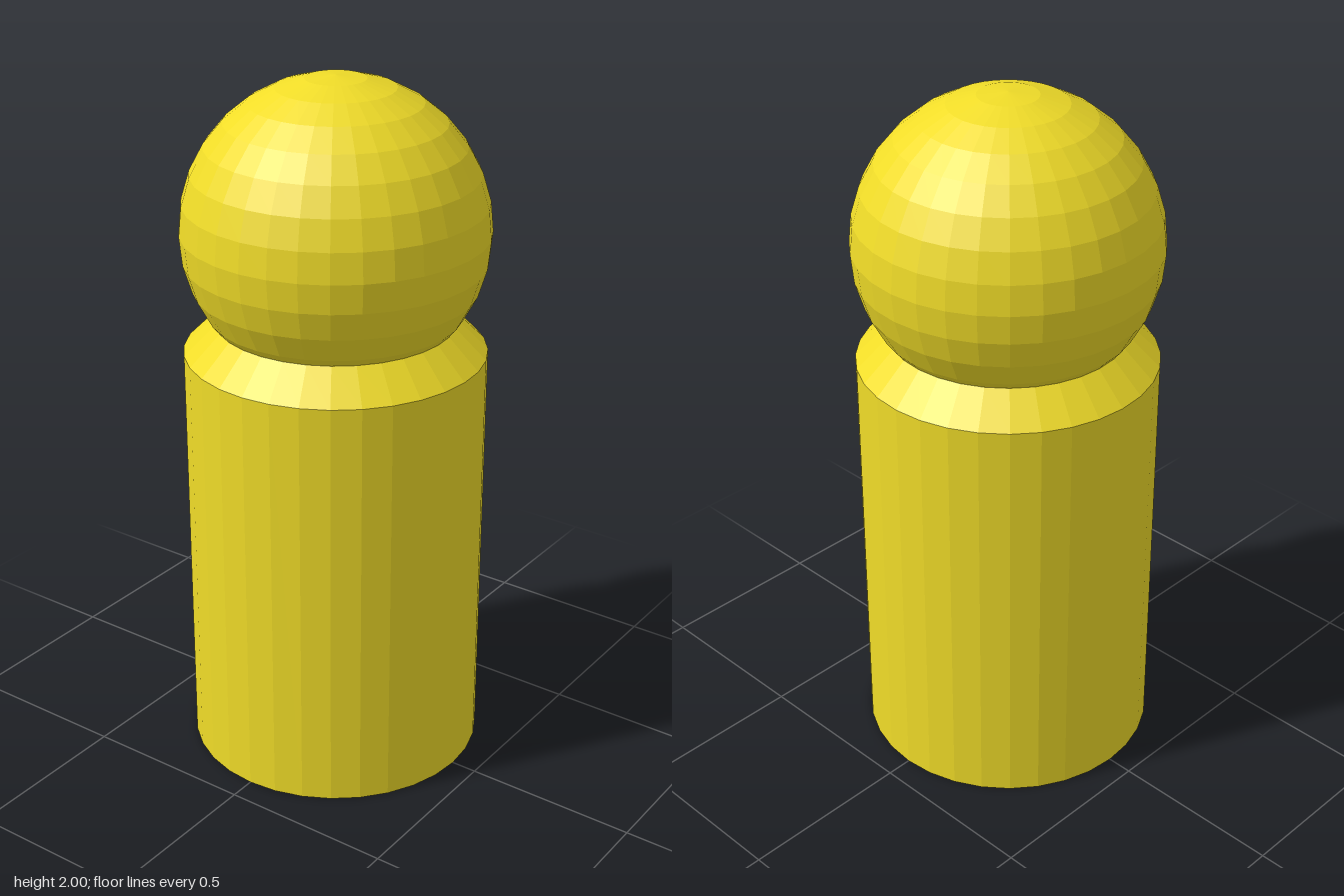
import * as THREE from 'three';

const SIDES = 32;
const HEAD_RADIUS = 0.428;

export function createModel() {
  const model = new THREE.Group();
  model.name = 'pegFigure';
  const material = new THREE.MeshStandardMaterial({ color: 0xf0dc28, flatShading: true });

  const add = (name, geometry, y = 0) => {
    const mesh = new THREE.Mesh(geometry, material);
    mesh.name = name;
    mesh.position.y = y;
    model.add(mesh);
  };

  // Cylindrical body with a chamfered shoulder running into the neck
  const profile = [[0, 0], [0.425, 0], [0.425, 1.225], [0.338, 1.312], [0, 1.312]]
    .map(([r, y]) => new THREE.Vector2(r, y));
  add('body', new THREE.LatheGeometry(profile, SIDES));

  // Faceted ball head resting in the neck
  add('head', new THREE.SphereGeometry(HEAD_RADIUS, SIDES, SIDES / 2), 2 - HEAD_RADIUS);

  return model;
}
